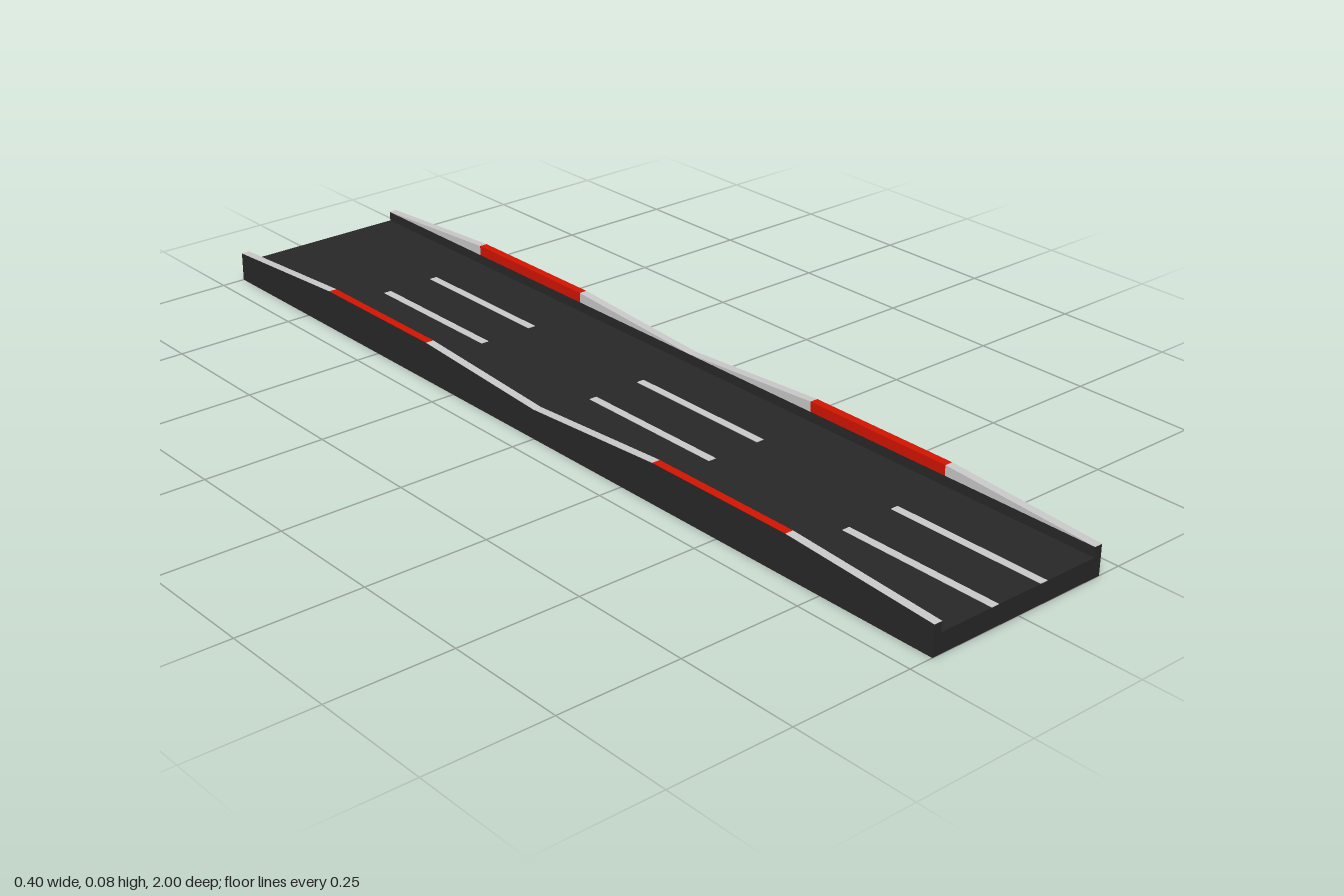
import * as THREE from 'three';

const DARK = new THREE.MeshStandardMaterial({ color: 0x282828 });
const GREY = new THREE.MeshStandardMaterial({ color: 0xcccccc });
const RED = new THREE.MeshStandardMaterial({ color: 0xd41400 });

const DECK = 0.04, HALF = 0.2, WALL = 0.0167, LOW = 0.06, HIGH = 0.08, LIFT = 0.0006;

// Barrier top line from back to front as [z, y]
const CREST = [LOW, HIGH, HIGH, LOW, HIGH, HIGH, LOW].map((y, i) => [-1 + i / 3, y]);

// Extrudes a [z, y] outline across x, from x0 to x1
function prism(points, x0, x1) {
  const shape = new THREE.Shape(points.map(([z, y]) => new THREE.Vector2(z, y)));
  return new THREE.ExtrudeGeometry(shape, { depth: x1 - x0, bevelEnabled: false })
    .rotateY(-Math.PI / 2)
    .translate(x1, 0, 0);
}

export function createModel() {
  const model = new THREE.Group();
  model.name = 'roadSection';
  const add = (parent, name, geometry, material) => {
    const mesh = new THREE.Mesh(geometry, material);
    mesh.name = name;
    parent.add(mesh);
  };

  // Road deck
  add(model, 'roadDeck', new THREE.BoxGeometry(2 * HALF, DECK, 2).translate(0, DECK / 2, 0), DARK);

  for (const side of [-1, 1]) {
    const barrier = new THREE.Group();
    barrier.name = side > 0 ? 'leftBarrier' : 'rightBarrier';
    model.add(barrier);
    const span = (inner, outer) => [side * inner, side * outer].sort((a, b) => a - b);

    // Dark wall with a wavy top
    add(barrier, 'barrierWall',
      prism([[-1, DECK], [1, DECK], ...[...CREST].reverse()], ...span(HALF - WALL, HALF)), DARK);

    // Grey and red covering on the top and upper inner face
    for (let i = 0; i < 6; i++) {
      const [z0, y0] = CREST[i], [z1, y1] = CREST[i + 1];
      const outline = [[z0, LOW], [z1, LOW], [z1, y1 + LIFT], [z0, y0 + LIFT]];
      add(barrier, 'barrierCap' + (i + 1),
        prism(outline, ...span(HALF - WALL - LIFT, HALF - 0.0002)), i % 3 === 1 ? RED : GREY);
    }

    // Dashed lane markings
    for (let i = 0; i < 3; i++) {
      const dash = new THREE.BoxGeometry(0.0167, 0.001, 1 / 3)
        .translate(side * 0.0583, DECK + 0.0003, -0.5 + i * 2 / 3);
      add(model, 'laneDash', dash, GREY);
    }
  }
  return model;
}
